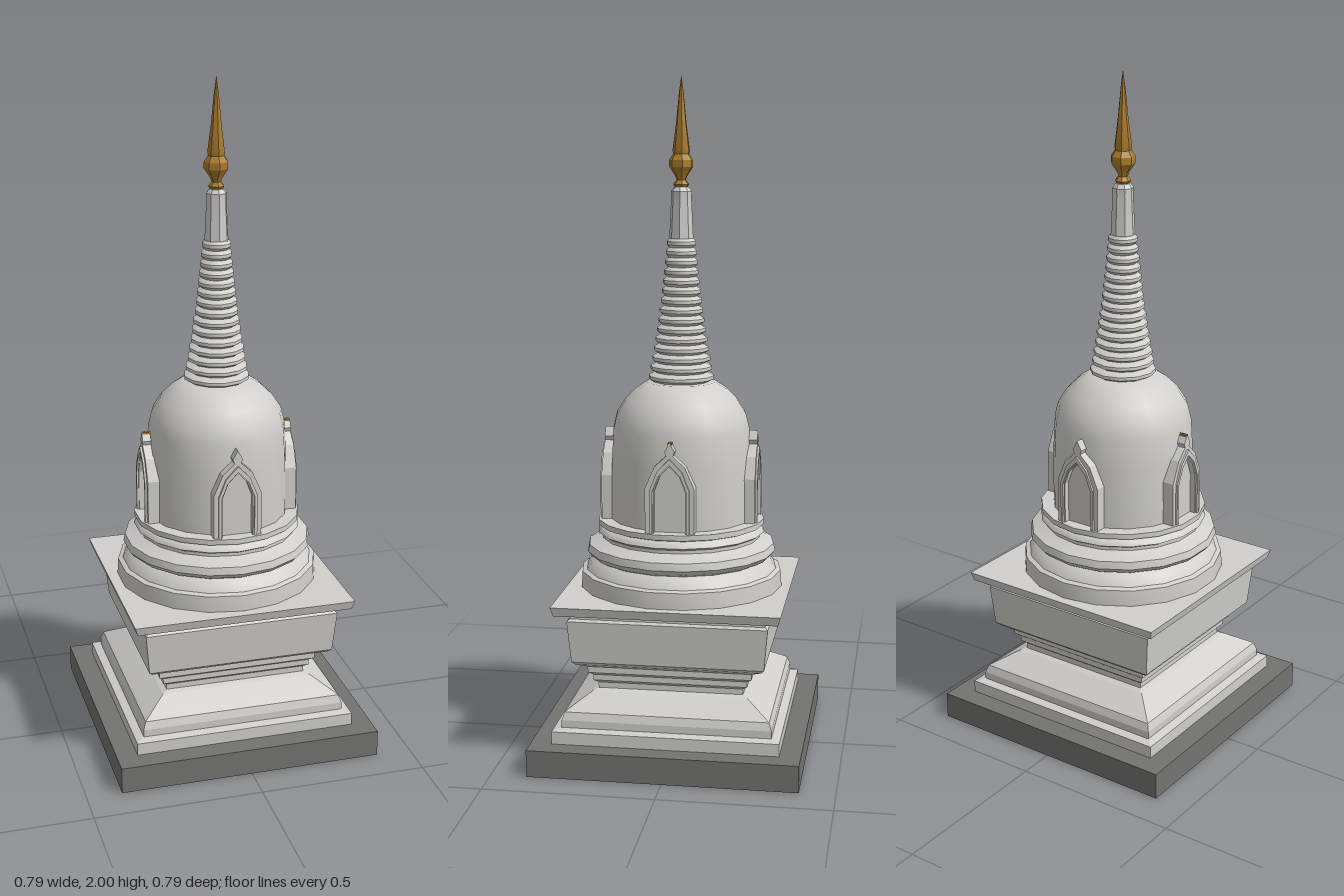
import * as THREE from 'three';
import { toCreasedNormals } from 'three/addons/utils/BufferGeometryUtils.js';

const plaster = new THREE.MeshStandardMaterial({ color: 0xd0cfcb });
plaster.name = 'pale plaster';
const stone = new THREE.MeshStandardMaterial({ color: 0x737371 });
stone.name = 'dark stone';
const gold = new THREE.MeshStandardMaterial({ color: 0xaa7c2c });
gold.name = 'gold';

function add(parent, name, geometry, material) {
  const mesh = new THREE.Mesh(geometry, material);
  mesh.name = name;
  parent.add(mesh);
  return mesh;
}

// Turned part from [radius, height] pairs, listed from bottom to top
function turned(profile, sides, crease = 0.55) {
  const points = profile.map(([r, y]) => new THREE.Vector2(r, y));
  return toCreasedNormals(new THREE.LatheGeometry(points, sides), crease);
}

// Square moulding from [half width, height] pairs
function squareMoulding(profile) {
  const g = turned(profile.map(([w, y]) => [w * Math.SQRT2, y]), 4, 0.1);
  return g.rotateY(Math.PI / 4);
}

// Pointed arch outline standing on y = base
function archPoints(w, base, spring, peak) {
  const mid = spring + (peak - spring) * 0.6;
  return [[-w, base], [w, base], [w, spring], [w * 0.62, mid], [0, peak], [-w * 0.62, mid], [-w, spring]]
    .map(([x, y]) => new THREE.Vector2(x, y));
}

function createNiche() {
  const niche = new THREE.Group();
  const extrude = (shape, depth) => new THREE.ExtrudeGeometry(shape, { depth, bevelEnabled: false });

  const frame = new THREE.Shape(archPoints(0.072, 0.69, 0.83, 0.935));
  frame.holes.push(new THREE.Path(archPoints(0.046, 0.695, 0.82, 0.895)));
  add(niche, 'nicheFrame', extrude(frame, 0.06), plaster).position.z = 0.17;

  const rib = new THREE.Shape(archPoints(0.058, 0.69, 0.825, 0.918));
  rib.holes.push(new THREE.Path(archPoints(0.05, 0.695, 0.82, 0.9)));
  add(niche, 'nicheRib', extrude(rib, 0.006), plaster).position.z = 0.23;

  const panel = new THREE.Shape(archPoints(0.048, 0.69, 0.82, 0.9));
  add(niche, 'nichePanel', extrude(panel, 0.04), plaster).position.z = 0.173;

  // Bud on the point of the arch
  const bud = new THREE.Shape([[-0.008, 0.92], [0.008, 0.92], [0.015, 0.938], [0, 0.965], [-0.015, 0.938]]
    .map(([x, y]) => new THREE.Vector2(x, y)));
  add(niche, 'nicheBud', extrude(bud, 0.025), plaster).position.z = 0.205;
  return niche;
}

export function createModel() {
  const model = new THREE.Group();

  // Ground slab
  add(model, 'slab', new THREE.BoxGeometry(0.79, 0.08, 0.79), stone).position.y = 0.04;

  // Square pedestal with waist and cornice
  add(model, 'pedestal', squareMoulding([
    [0.333, 0.08], [0.333, 0.117], [0.308, 0.123], [0.308, 0.145], [0.3, 0.168], [0.285, 0.178],
    [0.23, 0.212], [0.215, 0.218], [0.215, 0.235], [0.228, 0.245], [0.228, 0.262], [0.242, 0.272],
    [0.242, 0.29], [0.272, 0.305], [0.282, 0.315], [0.293, 0.44], [0.285, 0.447], [0.285, 0.462],
    [0.325, 0.465], [0.333, 0.492], [0, 0.492],
  ]), plaster);

  // Stacked round mouldings under the bell
  add(model, 'roundBase', turned([
    [0.305, 0.49], [0.302, 0.54], [0.288, 0.545], [0.275, 0.565], [0.258, 0.578], [0.272, 0.585],
    [0.285, 0.6], [0.28, 0.622], [0.258, 0.63], [0.238, 0.64], [0.238, 0.65], [0.252, 0.658],
    [0.245, 0.67], [0.235, 0.676], [0.25, 0.681], [0.25, 0.697], [0.2, 0.698],
  ], 18), plaster);

  // Bell dome
  add(model, 'bell', turned([
    [0.212, 0.69], [0.212, 0.75], [0.21, 0.88], [0.205, 0.97], [0.194, 1.015], [0.168, 1.055],
    [0.135, 1.087], [0.103, 1.108], [0, 1.11],
  ], 18, 0.7), plaster);

  // Four niches; only the two side buds carry a gilded tip
  for (let i = 0; i < 4; i++) {
    const niche = createNiche();
    niche.name = ['frontNiche', 'leftNiche', 'backNiche', 'rightNiche'][i];
    niche.rotation.y = i * Math.PI / 2;
    if (i % 2) {
      add(niche, 'gildedTip', new THREE.BoxGeometry(0.012, 0.006, 0.02), gold).position.set(0, 0.96, 0.218);
    }
    model.add(niche);
  }

  // Tapering ringed spire
  const spire = [[0.09, 1.105]];
  const rings = 15;
  const step = 0.425 / rings;
  for (let i = 0; i < rings; i++) {
    const y = 1.108 + i * step;
    const r = 0.098 * Math.pow(0.44, i / (rings - 1));
    spire.push([r * 0.83, y], [r, y + step * 0.3], [r, y + step * 0.65], [r * 0.83, y + step * 0.95]);
  }
  spire.push([0, 1.535]);
  add(model, 'ringedSpire', turned(spire, 12), plaster);

  // Plain neck above the rings
  add(model, 'spireNeck', turned([
    [0.036, 1.525], [0.03, 1.65], [0.031, 1.668], [0.022, 1.68], [0, 1.685],
  ], 8, 0.4), plaster);

  // Gold finial
  add(model, 'finial', turned([
    [0.014, 1.672], [0.024, 1.688], [0.014, 1.7], [0.018, 1.712], [0.036, 1.738], [0.036, 1.758],
    [0.024, 1.775], [0.026, 1.785], [0.016, 1.86], [0.007, 1.95], [0, 2.0],
  ], 7, 0.3), gold);

  return model;
}
